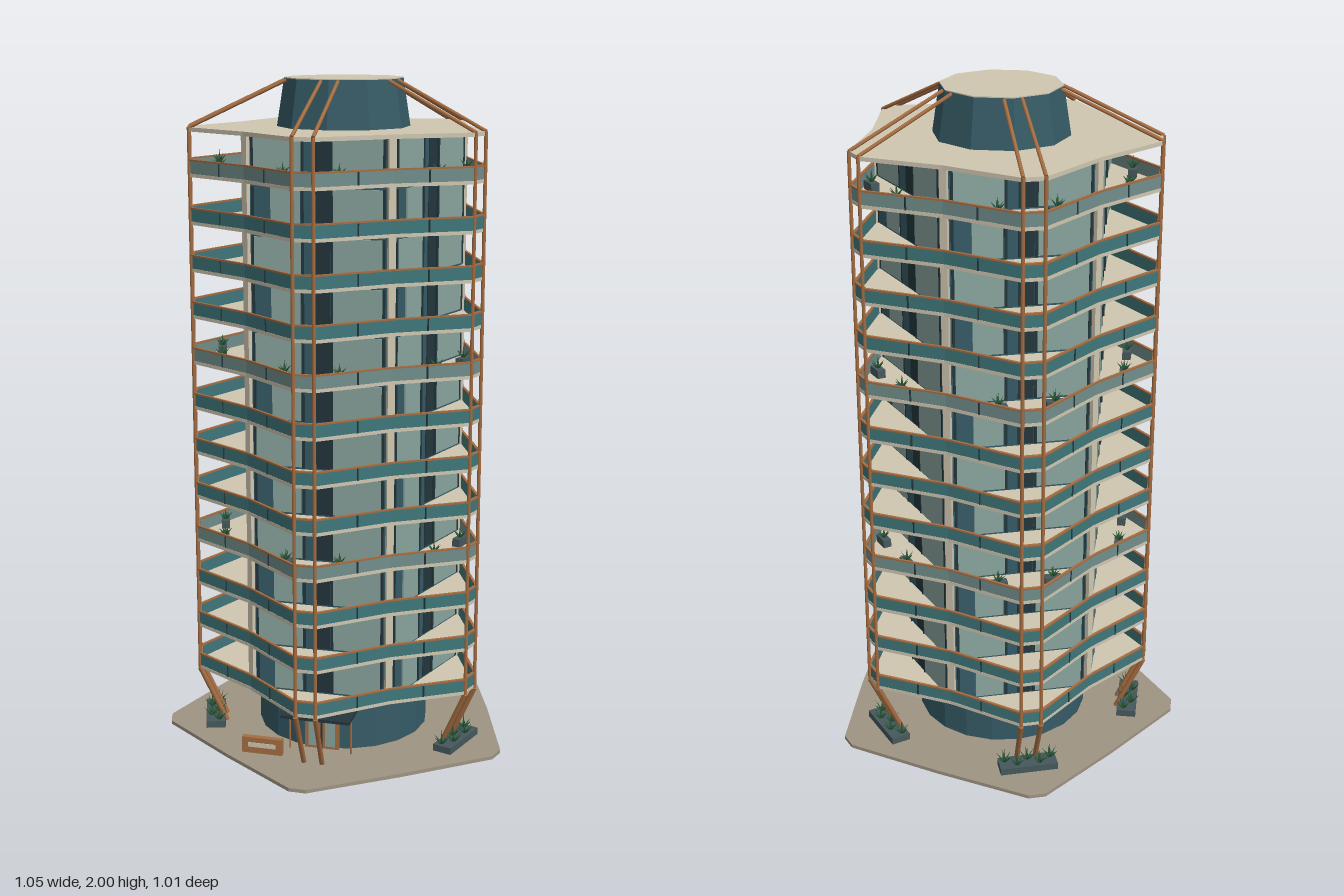
import * as THREE from 'three';

const paint = (name, color) => Object.assign(new THREE.MeshStandardMaterial({ color }), { name });

const SECTOR = Math.PI * 2 / 5;
const FLOORS = 12, FIRST = 0.19, STEP = 0.1388;
const ROOF = FIRST + FLOORS * STEP;
const WALL_R = 0.36, WALL_APOTHEM = WALL_R * Math.cos(Math.PI / 5);

// Five blunt tips joined by slightly bent sides
function outline(tipR, half, midR) {
  const pts = [];
  for (let k = 0; k < 5; k++) {
    const a = k * SECTOR, s = Math.sin(a), c = Math.cos(a), m = a + SECTOR / 2;
    for (const t of [-half, half]) pts.push(new THREE.Vector2(tipR * s + t * c, -(tipR * c - t * s)));
    pts.push(new THREE.Vector2(midR * Math.sin(m), -midR * Math.cos(m)));
  }
  return pts;
}

// Horizontal plate from an outline, with an optional hole, standing on y = 0
function plate(outer, depth, inner) {
  const shape = new THREE.Shape(outer);
  if (inner) shape.holes.push(new THREE.Path(inner));
  return new THREE.ExtrudeGeometry(shape, { depth, bevelEnabled: false }).rotateX(-Math.PI / 2);
}

export function createModel() {
  const cream = paint('cream', 0xd0c7b1);
  const stone = paint('stone', 0x9f9483);
  const teal = paint('teal', 0x3f777b);
  const paleTeal = paint('paleTeal', 0x718e8b);
  const wall = paint('wallTeal', 0x365b66);
  const glass = paint('glass', 0x8ba59f);
  const dark = paint('dark', 0x23363c);
  const copper = paint('copper', 0xa56d42);
  const slate = paint('slate', 0x46585c);
  const green = paint('green', 0x2c5a39);

  const model = new THREE.Group();
  model.name = 'tower';
  const tower = new THREE.Group();
  tower.name = 'building';
  tower.position.z = -0.045;
  model.add(tower);

  const add = (parent, name, geo, mat, x = 0, y = 0, z = 0) => {
    const mesh = new THREE.Mesh(geo, mat);
    mesh.name = name;
    mesh.position.set(x, y, z);
    parent.add(mesh);
    return mesh;
  };
  const box = (parent, name, mat, w, h, d, x, y, z) =>
    add(parent, name, new THREE.BoxGeometry(w, h, d), mat, x, y, z);
  const rod = (parent, name, a, b, r = 0.0055) => {
    const dir = b.clone().sub(a);
    const mesh = add(parent, name, new THREE.CylinderGeometry(r, r, dir.length(), 8), copper);
    mesh.position.copy(a).add(b).multiplyScalar(0.5);
    mesh.quaternion.setFromUnitVectors(new THREE.Vector3(0, 1, 0), dir.normalize());
  };
  const sectorGroup = (name, k) => {
    const g = new THREE.Group();
    g.name = name;
    g.rotation.y = k * SECTOR;
    tower.add(g);
    return g;
  };

  // Tufted plant of leaning leaves
  const leaf = new THREE.ConeGeometry(0.0045, 1, 4).translate(0, 0.5, 0);
  const plant = (parent, x, y, z, size) => {
    const g = new THREE.Group();
    g.name = 'plant';
    g.position.set(x, y, z);
    for (let i = 0; i < 7; i++) {
      const m = add(g, 'leaf', leaf, green);
      m.scale.set(1, size * (i ? 0.9 : 1.1), 1);
      m.rotation.set(i ? 0.75 : 0, i * 1.05, 0, 'YXZ');
    }
    parent.add(g);
  };

  // Ground plate and lobby
  add(tower, 'plaza', plate(outline(0.545, 0.026, 0.462), 0.011), stone);
  const lobby = new THREE.CylinderGeometry(0.263, 0.263, FIRST, 20).toNonIndexed();
  lobby.computeVertexNormals();
  add(tower, 'lobby', lobby, wall, 0, FIRST / 2, 0);

  // Five-sided core
  const core = new THREE.CylinderGeometry(WALL_R, WALL_R, ROOF - FIRST, 5).toNonIndexed();
  core.computeVertexNormals();
  add(tower, 'coreWall', core, wall, 0, (ROOF + FIRST) / 2, 0).rotation.y = SECTOR / 2;

  // Floor slabs, railings and handrails
  const edge = outline(0.45, 0.034, 0.366), inside = outline(0.443, 0.033, 0.361);
  const slab = plate(edge, 0.01);
  const rail = plate(outline(0.449, 0.034, 0.365), 0.036, inside);
  const handrail = plate(outline(0.452, 0.035, 0.368), 0.005, inside);
  for (let f = 0; f < FLOORS; f++) {
    const y = FIRST + f * STEP;
    add(tower, 'floorSlab', slab, cream, 0, y, 0);
    add(tower, 'railing', rail, f % 4 === 3 ? paleTeal : teal, 0, y + 0.01, 0);
    add(tower, 'handrail', handrail, copper, 0, y + 0.046, 0);
  }
  add(tower, 'roof', plate(edge, 0.012), cream, 0, ROOF - 0.008, 0);

  // Window strips per storey: [centre, width]
  const layouts = [
    [[-0.095, 0.085], [0.115, 0.145]],
    [[-0.12, 0.145], [0.115, 0.145]],
  ].map(list => list.map(([u, w]) => [u, new THREE.BoxGeometry(w, 0.112, 0.006)]));
  const bar = new THREE.BoxGeometry(0.007, 0.116, 0.009);
  const door = new THREE.BoxGeometry(0.045, 0.116, 0.005);
  const post = new THREE.BoxGeometry(0.004, 0.036, 0.004);

  for (let k = 0; k < 5; k++) {
    const face = sectorGroup('facade', k);
    for (let f = 0; f < FLOORS; f++) {
      const y = FIRST + f * STEP, mid = y + 0.073;
      for (const [u, geo] of layouts[f % 2]) {
        add(face, 'window', geo, glass, u, mid, WALL_APOTHEM + 0.002);
      }
      for (const u of [-0.19, -0.045, 0.04, 0.19]) add(face, 'mullion', bar, dark, u, mid, WALL_APOTHEM + 0.002);
      add(face, 'balconyDoor', door, dark, 0.012, mid, WALL_APOTHEM);
      // Railing posts along both sides of the tip
      for (const s of [-1, 1]) {
        const a = s * SECTOR / 2, t = 0.55;
        const px = THREE.MathUtils.lerp(s * 0.034, 0.366 * Math.sin(a), t);
        const pz = THREE.MathUtils.lerp(0.45, 0.366 * Math.cos(a), t);
        add(face, 'railingPost', post, dark, px, y + 0.028, pz);
      }
      // Garden storeys
      if (f % 4 === 3) {
        for (const s of [-1, 1]) {
          box(face, 'balconyPlanter', slate, 0.05, 0.025, 0.025, s * 0.08, y + 0.022, 0.365);
          plant(face, s * 0.08, y + 0.034, 0.365, 0.034);
        }
      }
    }
    // Cream pier on the corner of the core
    const pier = box(face, 'cornerPier', cream, 0.022, ROOF - FIRST, 0.018,
      WALL_R * Math.sin(SECTOR / 2) * 0.985, (ROOF + FIRST) / 2, WALL_R * Math.cos(SECTOR / 2) * 0.985);
    pier.rotation.y = SECTOR / 2;

    // Paired masts: raking foot, upright and roof stay
    for (const s of [-1, 1]) {
      const foot = new THREE.Vector3(s * 0.028, 0.01, 0.37);
      const knee = new THREE.Vector3(s * 0.03, FIRST, 0.451);
      const top = new THREE.Vector3(s * 0.03, ROOF + 0.004, 0.451);
      rod(face, 'rakingLeg', foot, knee, 0.008);
      rod(face, 'mast', knee, top);
      rod(face, 'roofStay', top, new THREE.Vector3(s * 0.025, 1.993, 0.168));
    }

    // Ground planters at every tip but the entrance
    if (k) {
      box(face, 'groundPlanter', slate, 0.175, 0.022, 0.06, 0, 0.021, 0.405);
      for (let i = 0; i < 5; i++) plant(face, (i - 2) * 0.035, 0.03, 0.405 + (i % 2 ? 0.012 : -0.01), 0.042);
    }
  }

  // Ten-sided crown
  const crown = new THREE.CylinderGeometry(0.174, 0.196, 2 - ROOF - 0.003, 10, 1, true).toNonIndexed();
  crown.computeVertexNormals();
  add(tower, 'crown', crown, wall, 0, (ROOF + 1.997) / 2, 0);
  add(tower, 'crownLid', new THREE.CylinderGeometry(0.174, 0.174, 0.004, 10), cream, 0, 1.998, 0);

  // Entrance doors, canopy and blank sign
  const entry = sectorGroup('entrance', 0);
  box(entry, 'doorFrame', copper, 0.105, 0.11, 0.014, 0, 0.066, 0.262);
  for (const s of [-1, 1]) {
    box(entry, 'doorGlass', glass, 0.03, 0.085, 0.004, s * 0.026, 0.062, 0.27);
    rod(entry, 'canopyPost', new THREE.Vector3(s * 0.095, 0.01, 0.285), new THREE.Vector3(s * 0.095, 0.135, 0.285), 0.003);
  }
  box(entry, 'doorSplit', dark, 0.005, 0.105, 0.006, 0, 0.064, 0.27);
  box(entry, 'canopy', dark, 0.215, 0.009, 0.115, 0, 0.14, 0.297);
  box(entry, 'signBoard', copper, 0.125, 0.05, 0.018, -0.165, 0.036, 0.342);
  box(entry, 'signPanel', cream, 0.085, 0.014, 0.004, -0.165, 0.038, 0.351);

  return model;
}
